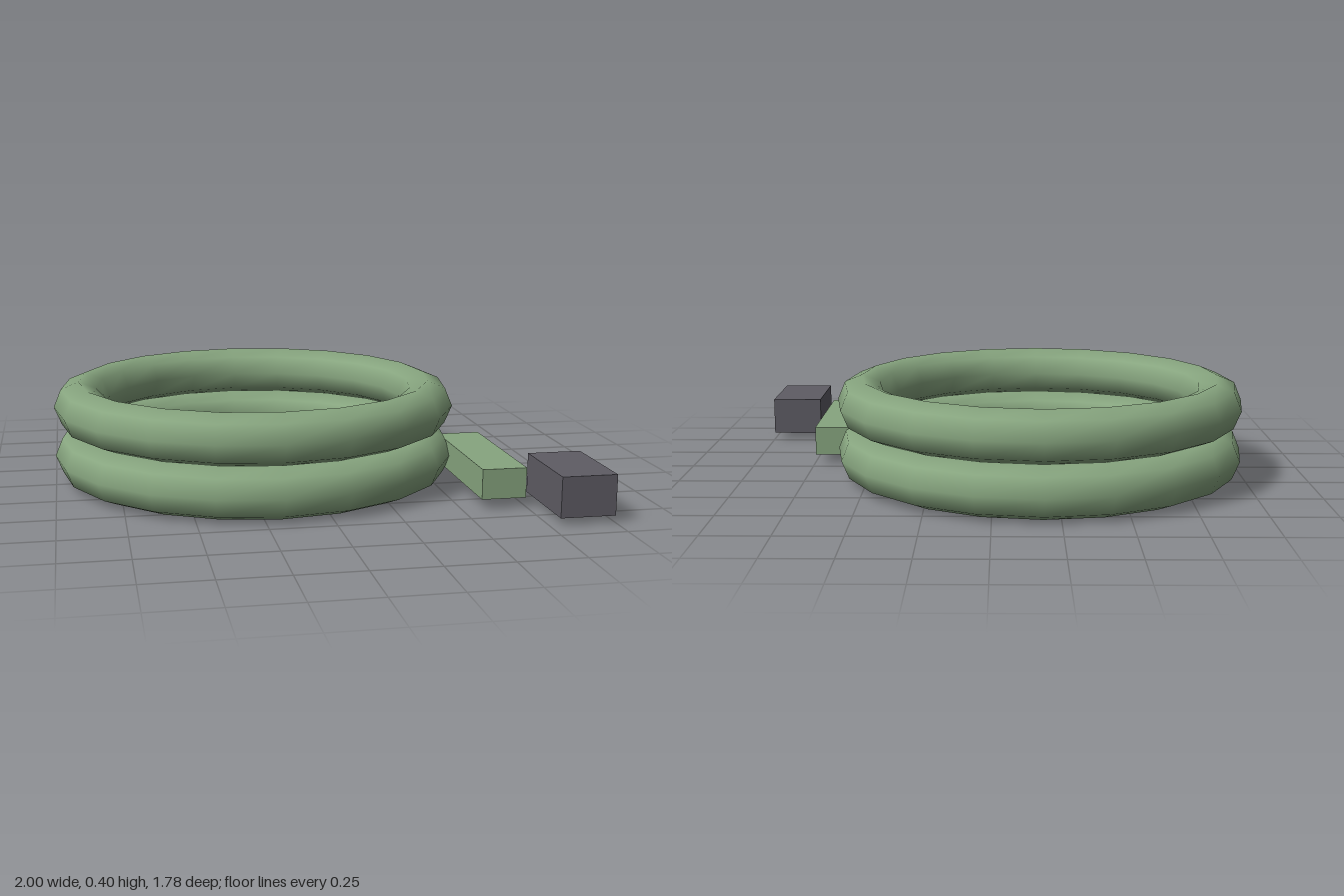
import * as THREE from 'three';

export function createModel() {
  const model = new THREE.Group();
  model.name = 'coiledHose';

  const green = new THREE.MeshStandardMaterial({ color: 0x87a57f });
  green.name = 'hose green';
  const grey = new THREE.MeshStandardMaterial({ color: 0x5e5c64 });
  grey.name = 'nozzle grey';

  const add = (name, geometry, material, x, y, z) => {
    const mesh = new THREE.Mesh(geometry, material);
    mesh.name = name;
    mesh.position.set(x, y, z);
    model.add(mesh);
  };

  // Two stacked loops of hose
  const tube = 0.1005;
  const loop = new THREE.TorusGeometry(0.714, tube, 8, 20).rotateX(Math.PI / 2);
  add('lowerLoop', loop, green, -0.185, tube, -0.079);
  add('upperLoop', loop, green, -0.185, tube * 3, -0.079);

  // Loose end of the hose and its nozzle
  add('hoseEnd', new THREE.BoxGeometry(0.172, 0.116, 0.604), green, 0.658, 0.098, 0.346);
  add('nozzle', new THREE.BoxGeometry(0.21, 0.154, 0.362), grey, 0.895, 0.104, 0.709);

  return model;
}
